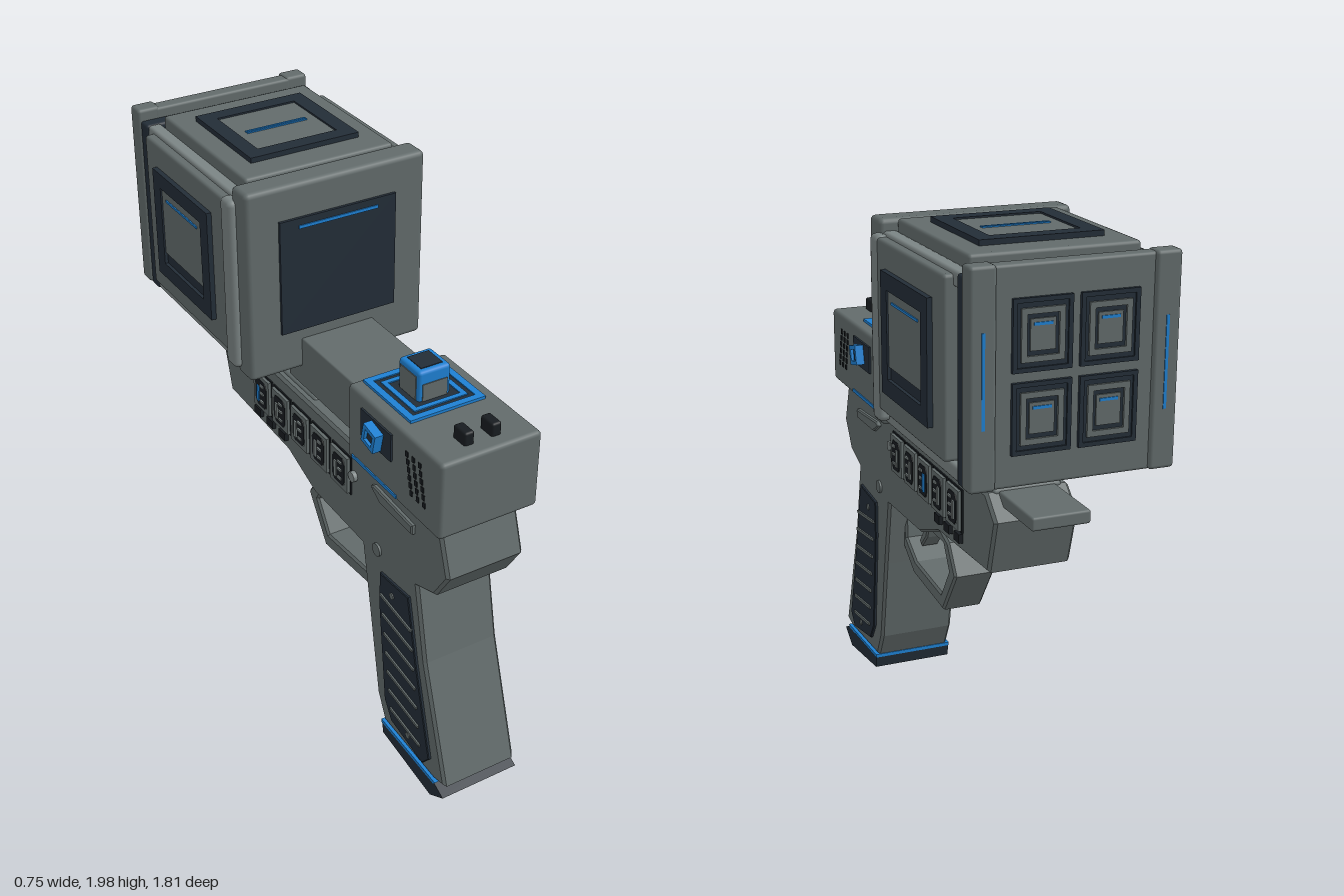
import * as THREE from 'three';
import { RoundedBoxGeometry } from 'three/addons/geometries/RoundedBoxGeometry.js';

const mat = (name, color) => Object.assign(new THREE.MeshStandardMaterial({ color }), { name });
const gray = mat('gunmetal', 0x626b6b);
const light = mat('light steel', 0x7b8484);
const dark = mat('dark slate', 0x232d37);
const black = mat('black', 0x181c20);
const blue = mat('blue', 0x1e80d2);

function add(parent, name, geo, material, x = 0, y = 0, z = 0) {
  const m = new THREE.Mesh(geo, material);
  m.name = name;
  m.position.set(x, y, z);
  parent.add(m);
  return m;
}
const box = (p, name, m, w, h, d, x, y, z) => add(p, name, new THREE.BoxGeometry(w, h, d), m, x, y, z);
const rbox = (p, name, m, w, h, d, x, y, z, r = 0.012) =>
  add(p, name, new RoundedBoxGeometry(w, h, d, 2, r), m, x, y, z);
// box given by its limits
const span = (p, name, m, x0, x1, y0, y1, z0, z1, r = 0.012) =>
  rbox(p, name, m, x1 - x0, y1 - y0, z1 - z0, (x0 + x1) / 2, (y0 + y1) / 2, (z0 + z1) / 2, r);

const toShape = pts => new THREE.Shape(pts.map(p => new THREE.Vector2(...p)));

// side profile of [z, y] points, extruded to a total width across x
function profile(p, name, m, pts, width, x = 0, bevel = 0, hole) {
  const s = toShape(pts);
  if (hole) s.holes.push(toShape(hole));
  const depth = width - 2 * bevel;
  const g = new THREE.ExtrudeGeometry(s, {
    depth, bevelEnabled: bevel > 0, bevelThickness: bevel, bevelSize: bevel, bevelOffset: -bevel, bevelSegments: 1 });
  g.translate(0, 0, -depth / 2).rotateY(-Math.PI / 2);
  return add(p, name, g, m, x);
}

const rect = (w, h) => [[-w / 2, -h / 2], [w / 2, -h / 2], [w / 2, h / 2], [-w / 2, h / 2]];
// flat rectangular frame standing on its local z = 0
function frame(p, name, m, w, h, t, depth, x = 0, y = 0, z = 0) {
  const s = toShape(rect(w, h));
  s.holes.push(toShape(rect(w - 2 * t, h - 2 * t)));
  return add(p, name, new THREE.ExtrudeGeometry(s, { depth, bevelEnabled: false }), m, x, y, z);
}
// group whose local +z points out of a face
function face(p, name, x, y, z, rx, ry) {
  const g = new THREE.Group();
  g.name = name;
  g.position.set(x, y, z);
  g.rotation.set(rx, ry, 0);
  p.add(g);
  return g;
}

const Q = Math.PI / 2;

function buildFrame(root) {
  profile(root, 'frame', gray, [
    [0.81, 1.16], [0.87, 0.98], [0.80, 0.87], [0.70, 0.835], [0.76, 0.55], [0.905, 0.10], [0.84, 0.085],
    [0.52, 0.10], [0.47, 0.20], [0.41, 0.53], [0.36, 0.79], [0.035, 0.80], [-0.15, 0.87], [-0.59, 0.89],
    [-0.645, 1.08], [-0.565, 1.155]], 0.29, 0, 0.01);
  profile(root, 'gripBase', dark, [[0.908, 0.055], [0.83, 0.005], [0.525, 0.045], [0.515, 0.098], [0.85, 0.082]], 0.304);
  profile(root, 'gripBaseStripe', blue, [[0.86, 0.088], [0.85, 0.076], [0.515, 0.09], [0.515, 0.103]], 0.308);
  span(root, 'topRail', gray, -0.12, 0.12, 1.13, 1.165, -0.57, 0);
  span(root, 'barrelTongue', gray, -0.1, 0.1, 1.112, 1.157, -0.825, -0.55, 0.008);
  profile(root, 'triggerGuard', gray,
    [[0.42, 0.80], [0.395, 0.60], [0.29, 0.53], [-0.01, 0.505], [-0.13, 0.68], [-0.06, 0.785], [0.03, 0.815]],
    0.15, 0, 0.008,
    [[0.375, 0.76], [-0.015, 0.765], [-0.065, 0.68], [0.01, 0.565], [0.27, 0.585], [0.37, 0.645]]);
  profile(root, 'trigger', gray,
    [[0.285, 0.77], [0.29, 0.70], [0.335, 0.645], [0.315, 0.625], [0.26, 0.68], [0.24, 0.73], [0.25, 0.77]], 0.07, 0, 0.006);

  for (const s of [1, -1]) {
    // grip panels with slanted ridges and screws
    profile(root, 'gripPanel', dark, [[0.665, 0.77], [0.49, 0.755], [0.49, 0.62], [0.535, 0.22], [0.58, 0.15],
      [0.78, 0.115], [0.82, 0.165], [0.72, 0.53]], 0.016, s * 0.148, 0.003);
    for (let i = 0; i < 7; i++) {
      const y = 0.66 - i * 0.077, z = 0.597 + i * 0.0125;
      box(root, 'gripRidge', gray, 0.012, 0.011, 0.19, s * 0.156, y, z).rotation.x = 0.12;
    }
    const disc = (name, m, r, y, z, x = 0.145) =>
      add(root, name, new THREE.CylinderGeometry(r, r, 0.03, 20), m, s * x, y, z).rotation.z = Q;
    disc('gripScrew', gray, 0.012, 0.71, 0.57);
    disc('gripScrew', gray, 0.012, 0.17, 0.69);
    disc('framePin', gray, 0.024, 0.83, 0.46, 0.138);
    disc('frameStud', light, 0.019, 1.04, 0.31);
    profile(root, 'safetyLever', gray,
      [[0.68, 1.075], [0.68, 1.04], [0.49, 1.042], [0.43, 1.08], [0.45, 1.09]], 0.026, s * 0.147, 0.005);

    // row of framed switches
    for (let i = 0; i < 5; i++) {
      const g = face(root, 'switch', s * 0.145, 1.027, 0.23 - i * 0.137, 0, s * Q);
      const lit = i === (s > 0 ? 2 : 4);
      frame(g, 'switchRim', black, 0.124, 0.152, 0.008, 0.005);
      frame(g, 'switchFrame', gray, 0.112, 0.14, 0.02, 0.016);
      const oct = toShape([[-0.04, -0.035], [-0.025, -0.055], [0.025, -0.055], [0.04, -0.035],
        [0.04, 0.035], [0.025, 0.055], [-0.025, 0.055], [-0.04, 0.035]]);
      add(g, 'switchWell', new THREE.ExtrudeGeometry(oct, { depth: 0.018, bevelEnabled: false }), black);
      box(g, 'switchBar', lit ? blue : light, 0.014, 0.065, 0.006, s * 0.016, -0.005, 0.02);
      for (const y of [-0.03, 0.005, 0.035]) box(g, 'switchMark', light, 0.024, 0.009, 0.006, s * -0.012, y, 0.02);
    }
    for (let i = 0; i < 3; i++)
      box(root, 'sideButton', black, 0.03, 0.032, 0.045, s * 0.145, 0.93, -0.172 - i * 0.091);
  }
}

function buildRearHousing(root) {
  span(root, 'rearHousing', gray, -0.185, 0.185, 1.15, 1.43, 0.33, 0.87, 0.015);
  span(root, 'connector', gray, -0.14, 0.14, 1.20, 1.39, -0.14, 0.295, 0.006);
  for (const s of [1, -1]) {
    box(root, 'housingStripe', blue, 0.006, 0.012, 0.27, s * 0.186, 1.168, 0.495);
    box(root, 'dialPlate', dark, 0.01, 0.1, 0.18, s * 0.187, 1.337, 0.51);
    const dial = face(root, 'dial', s * 0.19, 1.337, 0.515, 0, s * Q);
    const ring = frame(dial, 'dialRing', blue, 0.072, 0.072, 0.015, 0.033);
    const core = box(dial, 'dialCore', dark, 0.045, 0.045, 0.022, 0, 0, 0.011);
    ring.rotation.z = core.rotation.z = s * 0.22;
    // slanted vents made of short slots
    for (let c = 0; c < 3; c++)
      for (let r = 0; r < 6; r++)
        box(root, 'ventSlot', black, 0.008, 0.019, 0.014, s * 0.184, 1.235 + r * 0.026, 0.785 - c * 0.036 - r * 0.006);
    rbox(root, 'topButton', black, 0.036, 0.055, 0.065, s * 0.05, 1.447, 0.785, 0.008);
  }
  // square lens tower
  const top = face(root, 'lensMount', 0, 1.43, 0.49, -Q, 0);
  box(top, 'lensBase', dark, 0.27, 0.27, 0.008, 0, 0, 0.002);
  frame(top, 'outerBlueFrame', blue, 0.28, 0.28, 0.024, 0.01);
  frame(top, 'innerBlueFrame', blue, 0.2, 0.2, 0.018, 0.01);
  rbox(top, 'lensTower', blue, 0.12, 0.12, 0.115, 0, 0, 0.055, 0.012);
  box(top, 'lensGlass', dark, 0.08, 0.08, 0.006, 0, 0, 0.112);
  for (const s of [1, -1]) {
    box(top, 'towerSidePlate', gray, 0.006, 0.092, 0.085, s * 0.06, 0, 0.051);
    box(top, 'towerEndPlate', gray, 0.092, 0.006, 0.065, 0, s * 0.06, 0.035);
  }
}

function buildCube(root) {
  const cy = 1.62, cz = -0.45;
  span(root, 'cubeCore', gray, -0.3, 0.3, 1.32, 1.92, -0.745, -0.12);
  span(root, 'frontPlate', gray, -0.338, 0.338, 1.275, 1.965, -0.142, -0.045, 0.018);
  box(root, 'frontScreen', dark, 0.44, 0.415, 0.012, 0, 1.638, -0.041);
  box(root, 'frontScreenLine', blue, 0.3, 0.011, 0.006, 0, 1.815, -0.034);

  // raised panels on the four flanks, local x along the cube's length or width
  const flank = (name, g, w, h, top) => {
    rbox(g, name, gray, w, h, 0.08, 0, 0, -0.04, 0.012);
    frame(g, 'panelBorder', dark, 0.41, 0.4, 0.055, 0.018);
    box(g, 'panelBack', dark, 0.4, 0.39, 0.006, 0, 0, 0.003);
    if (top) {
      box(g, 'panelInset', gray, 0.31, 0.305, 0.012, 0, 0, 0.006);
      for (const y of [-0.006, 0.006]) box(g, 'panelLine', blue, 0.23, 0.007, 0.006, 0, y, 0.013);
    } else {
      box(g, 'panelInset', gray, 0.315, 0.257, 0.012, 0, 0.025, 0.006);
      box(g, 'panelLine', blue, 0.235, 0.008, 0.006, 0, 0.11, 0.013);
    }
  };
  for (const s of [1, -1]) {
    flank('sidePanel', face(root, 'cubeSide', s * 0.357, cy + 0.008, cz - 0.005, 0, s * Q), 0.585, 0.57, false);
    flank(s > 0 ? 'topPanel' : 'bottomPanel',
      face(root, s > 0 ? 'cubeTop' : 'cubeBottom', 0, cy + s * 0.346, cz, -s * Q, 0), 0.56, 0.6, true);
    // corner columns and rods
    span(root, 'cornerColumn', light, s * 0.338 - 0.025, s * 0.338 + 0.025, 1.3, 1.92, -0.18, -0.11, 0.02);
    for (const y of [1.31, 1.9])
      span(root, 'cornerRod', light, s * 0.3 - 0.025, s * 0.3 + 0.025, y - 0.025, y + 0.025, -0.79, -0.13);
  }

  // rear cap held off the cube by a short shaft
  box(root, 'capShaft', black, 0.07, 0.07, 0.06, 0, 1.63, -0.765);
  span(root, 'capSeal', dark, -0.33, 0.33, 1.285, 1.925, -0.838, -0.785, 0.01);
  span(root, 'capPlate', gray, -0.27, 0.27, 1.29, 1.96, -0.888, -0.835, 0.01);
  const back = face(root, 'capFace', 0, 1.627, -0.888, 0, Math.PI);
  for (const s of [1, -1]) {
    rbox(back, 'capColumn', gray, 0.085, 0.675, 0.065, s * 0.295, 0, -0.02);
    box(back, 'capColumnLine', blue, 0.01, 0.29, 0.006, s * 0.295, 0, 0.012);
    for (const y of [0.125, -0.125]) {
      box(back, 'cellWell', dark, 0.19, 0.22, 0.008, s * 0.108, y, 0.002);
      frame(back, 'cellRim', dark, 0.19, 0.22, 0.014, 0.012, s * 0.108, y);
      frame(back, 'cellFrame', gray, 0.138, 0.16, 0.018, 0.014, s * 0.108, y);
      box(back, 'cellTile', gray, 0.08, 0.095, 0.01, s * 0.108, y, 0.006);
      box(back, 'cellLine', blue, 0.06, 0.009, 0.006, s * 0.108, y + 0.032, 0.011);
    }
  }
}

export function createModel() {
  const root = new THREE.Group();
  root.name = 'cubeBlaster';
  buildFrame(root);
  buildRearHousing(root);
  buildCube(root);
  return root;
}
